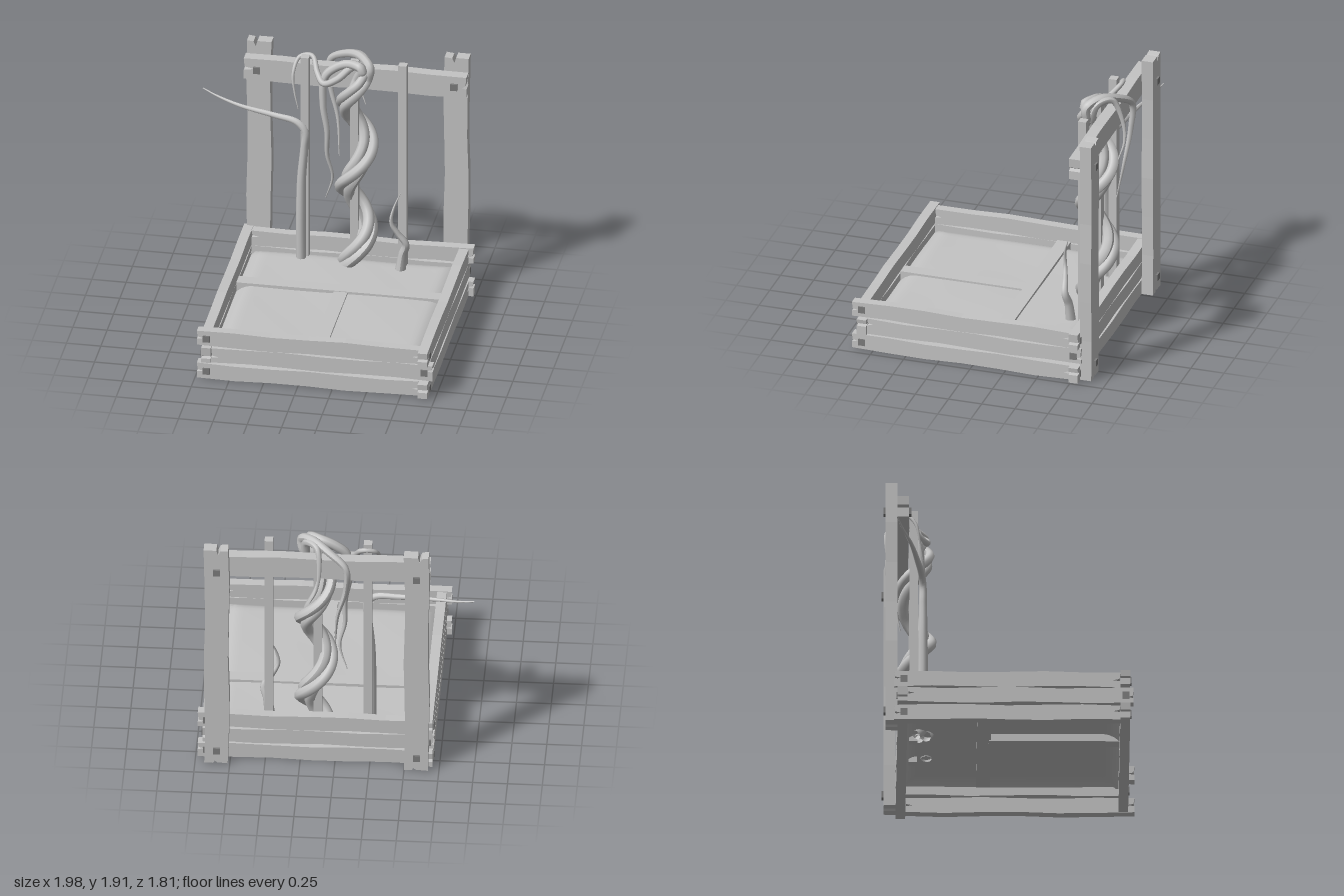
import * as THREE from 'three';

const pale = new THREE.MeshStandardMaterial({ color: 0xc4c4c4, side: THREE.DoubleSide });
pale.name = 'paleGrey';
const dark = new THREE.MeshStandardMaterial({ color: 0x7c7c7c });
dark.name = 'nailGrey';

const V = (x, y, z) => new THREE.Vector3(x, y, z);

function add(parent, name, geometry, material = pale) {
  const mesh = new THREE.Mesh(geometry, material);
  mesh.name = name;
  parent.add(mesh);
  return mesh;
}

// Rough board along x: wavy long edges, V-shaped cracks at the ends
function boardGeometry(length, height, thick, seed, cracks = [0.05, 0.05]) {
  const l = length / 2, h = height / 2, n = 6;
  const wob = (i, s) => 0.006 * (Math.sin(i * 1.9 + seed * 2.3 + s) - 1);
  const pts = [];
  for (let i = 0; i <= n; i++) pts.push([-l + (length * i) / n, -h - wob(i, 0)]);
  const c = 0.25 * h * Math.sin(seed * 1.7);
  pts.push([l, c - 0.13 * h], [l - cracks[1], c], [l - 0.006, c + 0.17 * h]);
  for (let i = n; i >= 0; i--) pts.push([-l + (length * i) / n, h + wob(i, 2)]);
  pts.push([-l + 0.006, 0.17 * h - c], [-l + cracks[0], -c], [-l, -0.13 * h - c]);
  const shape = new THREE.Shape(pts.map((p) => new THREE.Vector2(p[0], p[1])));
  return new THREE.ExtrudeGeometry(shape, { depth: thick, bevelEnabled: false }).translate(0, 0, -thick / 2);
}

// Tube that narrows from r0 to r1 along a smooth path
function vine(parent, name, points, r0, r1, segs = 60, power = 1) {
  const path = new THREE.CatmullRomCurve3(points);
  const radial = 8;
  const geo = new THREE.TubeGeometry(path, segs, 1, radial, false);
  const pos = geo.attributes.position, p = V(0, 0, 0);
  for (let i = 0; i <= segs; i++) {
    const centre = path.getPointAt(i / segs);
    const r = r0 + (r1 - r0) * Math.pow(i / segs, power);
    for (let j = 0; j <= radial; j++) {
      const k = i * (radial + 1) + j;
      p.fromBufferAttribute(pos, k).sub(centre).multiplyScalar(r).add(centre);
      pos.setXYZ(k, p.x, p.y, p.z);
    }
  }
  geo.computeVertexNormals();
  return add(parent, name, geo);
}

function nail(parent, x, y, z, dx, dy, dz) {
  add(parent, 'nail', new THREE.BoxGeometry(dx, dy, dz), dark).position.set(x, y, z);
}

export function createModel() {
  const model = new THREE.Group();
  model.name = 'raisedBedWithTrellis';

  // Planter walls: three courses with alternating corner overlaps
  const walls = new THREE.Group();
  walls.name = 'planterWalls';
  model.add(walls);
  const odd = { front: [-0.735, 0.88], back: [-0.63, 0.985], right: [-0.735, 0.905], left: [-0.83, 0.79] };
  const even = { front: [-0.63, 0.98], back: [-0.71, 0.88], right: [-0.82, 0.79], left: [-0.735, 0.885] };
  const T = 0.07;
  [[0.065, odd], [0.2, even], [0.325, odd]].forEach(([y, c], i) => {
    const h = 0.127;
    [['front', 0.825], ['back', -0.77]].forEach(([side, z], k) => {
      const [a, b] = c[side];
      add(walls, side + 'Plank', boardGeometry(b - a, h, T, i + k * 4)).position.set((a + b) / 2, y, z);
    });
    [['right', 0.915], ['left', -0.665]].forEach(([side, x], k) => {
      const [a, b] = c[side];
      const m = add(walls, side + 'Plank', boardGeometry(b - a, h, T, i + 2 + k * 5));
      m.rotation.y = Math.PI / 2;
      m.position.set(x, y, (a + b) / 2);
    });
    // One nail on each overlapping plank end
    const s = 0.05, d = 0.02, outer = c === odd;
    nail(walls, outer ? -0.665 : 0.92, y, 0.859, s, s, d);
    nail(walls, outer ? 0.92 : -0.665, y, -0.804, s, s, d);
    nail(walls, 0.949, y, outer ? 0.83 : -0.76, d, s, s);
    nail(walls, -0.699, y, outer ? -0.76 : 0.83, d, s, s);
  });

  // Soil sheet, gently uneven and rounded down at the rim
  const soil = new THREE.PlaneGeometry(1.53, 1.56, 40, 40).rotateX(-Math.PI / 2);
  const sp = soil.attributes.position;
  for (let i = 0; i < sp.count; i++) {
    const x = sp.getX(i), z = sp.getZ(i);
    const edge = Math.min(0.765 - Math.abs(x), 0.78 - Math.abs(z));
    const drop = Math.pow(Math.max(0, 1 - edge / 0.12), 2) * 0.06;
    sp.setY(i, 0.255 + 0.005 * Math.sin(x * 5) * Math.cos(z * 4) - drop);
  }
  soil.computeVertexNormals();
  add(model, 'soil', soil).position.set(0.13, 0, 0.015);

  // Divider slats across the bed
  add(model, 'crossDivider', new THREE.BoxGeometry(1.53, 0.07, 0.1)).position.set(0.13, 0.24, -0.18);
  add(model, 'lengthDivider', new THREE.BoxGeometry(0.1, 0.07, 0.94)).position.set(0.13, 0.235, 0.325);

  // Trellis frame: two posts and a beam
  const trellis = new THREE.Group();
  trellis.name = 'trellis';
  model.add(trellis);
  [[-0.59, 1], [0.845, 4]].forEach(([x, seed]) => {
    const post = add(trellis, 'post', boardGeometry(1.87, 0.185, 0.085, seed, [0.02, 0.04]));
    post.rotation.z = Math.PI / 2;
    post.position.set(x, 0.945, -0.848);
    nail(trellis, x, 1.69, -0.805, 0.05, 0.05, 0.2);
    nail(trellis, x, 0.12, -0.86, 0.05, 0.05, 0.09);
  });
  add(trellis, 'topBeam', boardGeometry(1.62, 0.18, 0.083, 2, [0.08, 0.03])).position.set(0.125, 1.69, -0.764);

  // Thin climbing stakes
  [-0.23, 0.13, 0.482].forEach((x) => {
    add(trellis, 'stake', new THREE.BoxGeometry(0.06, 1.65, 0.06)).position.set(x, 1.03, -0.685);
  });

  // Twisted vine bundle winding round the middle stake, each strand with its own tail
  const vines = new THREE.Group();
  vines.name = 'vines';
  model.add(vines);
  const tails = [
    [V(0.25, 1.83, -0.63), V(0.17, 1.88, -0.71), V(0.04, 1.84, -0.81), V(-0.08, 1.75, -0.87),
      V(-0.08, 1.55, -0.86), V(-0.02, 1.3, -0.83), V(0, 1.02, -0.78)],
    [V(0.2, 1.83, -0.6), V(0.1, 1.84, -0.65), V(0, 1.8, -0.66), V(-0.08, 1.72, -0.65), V(-0.09, 1.5, -0.63),
      V(-0.06, 1.3, -0.62), V(-0.06, 1.1, -0.63), V(-0.025, 0.92, -0.65), V(-0.08, 0.73, -0.68)],
    [V(0.22, 1.82, -0.66), V(0.13, 1.82, -0.66), V(0.02, 1.74, -0.59), V(-0.08, 1.69, -0.6), V(-0.14, 1.74, -0.67),
      V(-0.19, 1.83, -0.75), V(-0.28, 1.82, -0.74), V(-0.315, 1.72, -0.67), V(-0.3, 1.58, -0.64), V(-0.27, 1.46, -0.62)],
  ];
  tails.forEach((tail, k) => {
    const pts = [];
    for (let y = 0.23; y < 1.74; y += 0.06) {
      const a = (2 * Math.PI * (y - 1)) / 0.66;
      const b = (2 * Math.PI * y) / 0.75 + (k * 2 * Math.PI) / 3;
      pts.push(V(0.145 + 0.075 * Math.sin(a) + 0.043 * Math.sin(b), y, -0.68 + 0.078 * Math.cos(a) + 0.043 * Math.cos(b)));
    }
    vine(vines, 'twistedVine', pts.concat(tail), 0.043, 0.003, 180, 3);
  });

  // Tendril hanging behind the beam
  vine(vines, 'backTendril', [V(0.22, 1.72, -0.65), V(0.21, 1.85, -0.7), V(0.13, 1.86, -0.79), V(0.11, 1.7, -0.86),
    V(0.13, 1.55, -0.88), V(0.18, 1.42, -0.85)], 0.035, 0.003);

  // Vine climbing the left-hand stake and reaching outwards
  vine(vines, 'reachingVine', [V(-0.25, 0.24, -0.63), V(-0.25, 0.6, -0.62), V(-0.245, 0.9, -0.62), V(-0.225, 1.15, -0.62),
    V(-0.22, 1.28, -0.62), V(-0.28, 1.345, -0.63), V(-0.45, 1.37, -0.66), V(-0.7, 1.395, -0.71),
    V(-0.88, 1.425, -0.77), V(-0.998, 1.46, -0.81)], 0.037, 0.004, 90, 2);

  // Young shoot beside the last stake
  vine(vines, 'youngShoot', [V(0.48, 0.24, -0.59), V(0.5, 0.38, -0.58), V(0.525, 0.47, -0.56), V(0.47, 0.56, -0.545),
    V(0.425, 0.65, -0.53), V(0.44, 0.76, -0.535), V(0.482, 0.87, -0.57)], 0.04, 0.002);

  return model;
}
